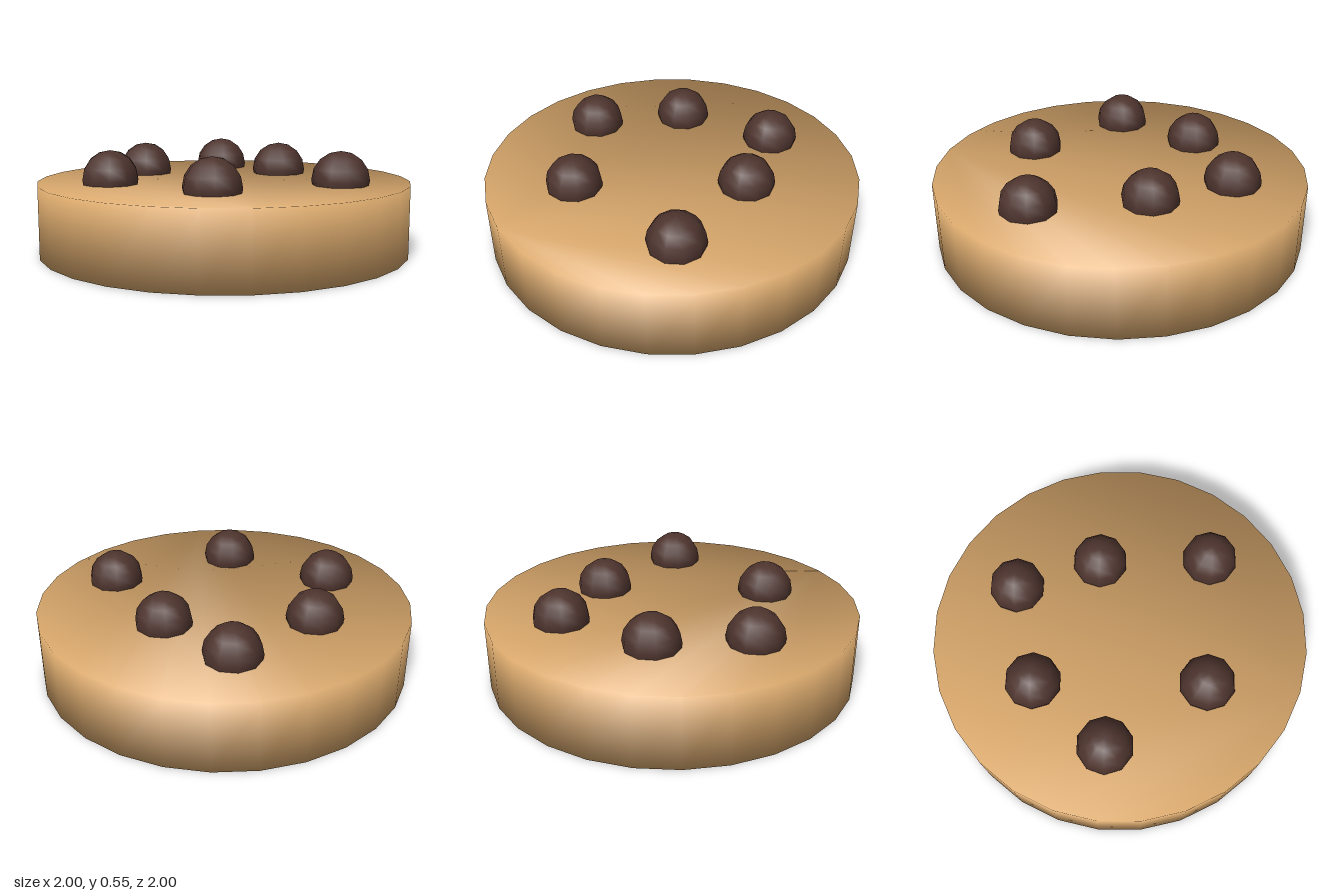
import * as THREE from 'three';

const SIDES = 28;
const HEIGHT = 0.378;
const CHIP_RADIUS = 0.15;

// Low-poly disc whose caps and wall share softened rim normals
function discGeometry(radius, height, sides) {
  const positions = [], normals = [], index = [];
  for (const up of [0, 1]) {
    for (let i = 0; i < sides; i++) {
      const a = (i / sides) * Math.PI * 2;
      const x = Math.sin(a), z = Math.cos(a);
      positions.push(radius * x, up * height, radius * z);
      normals.push(x * Math.SQRT1_2, (up * 2 - 1) * Math.SQRT1_2, z * Math.SQRT1_2);
    }
  }
  for (let i = 0; i < sides; i++) {
    const j = (i + 1) % sides;
    index.push(i, j, sides + j, i, sides + j, sides + i); // wall
    if (i > 0 && j > 0) {
      index.push(sides, sides + i, sides + j); // top cap
      index.push(0, j, i); // bottom cap
    }
  }
  const geometry = new THREE.BufferGeometry();
  geometry.setAttribute('position', new THREE.Float32BufferAttribute(positions, 3));
  geometry.setAttribute('normal', new THREE.Float32BufferAttribute(normals, 3));
  geometry.setIndex(index);
  return geometry;
}

export function createModel() {
  const group = new THREE.Group();
  group.name = 'cookie';

  // Cookie body
  const dough = new THREE.MeshStandardMaterial({ color: 0xd9a86c });
  const body = new THREE.Mesh(discGeometry(1, HEIGHT, SIDES), dough);
  body.name = 'cookieBase';
  group.add(body);

  // Chocolate chips, half sunk into the top
  const chocolate = new THREE.MeshStandardMaterial({ color: 0x4e342e });
  const chipGeometry = new THREE.SphereGeometry(CHIP_RADIUS, 10, 8).rotateY(Math.PI / 2);
  const spots = [
    [0.06, -0.615], [-0.415, -0.335], [0.35, -0.24],
    [-0.61, 0.135], [0.565, 0.325], [-0.12, 0.525],
  ];
  spots.forEach(([x, z], i) => {
    const chip = new THREE.Mesh(chipGeometry, chocolate);
    chip.name = `chocolateChip${i + 1}`;
    chip.position.set(x, 0.403, z);
    group.add(chip);
  });

  return group;
}
